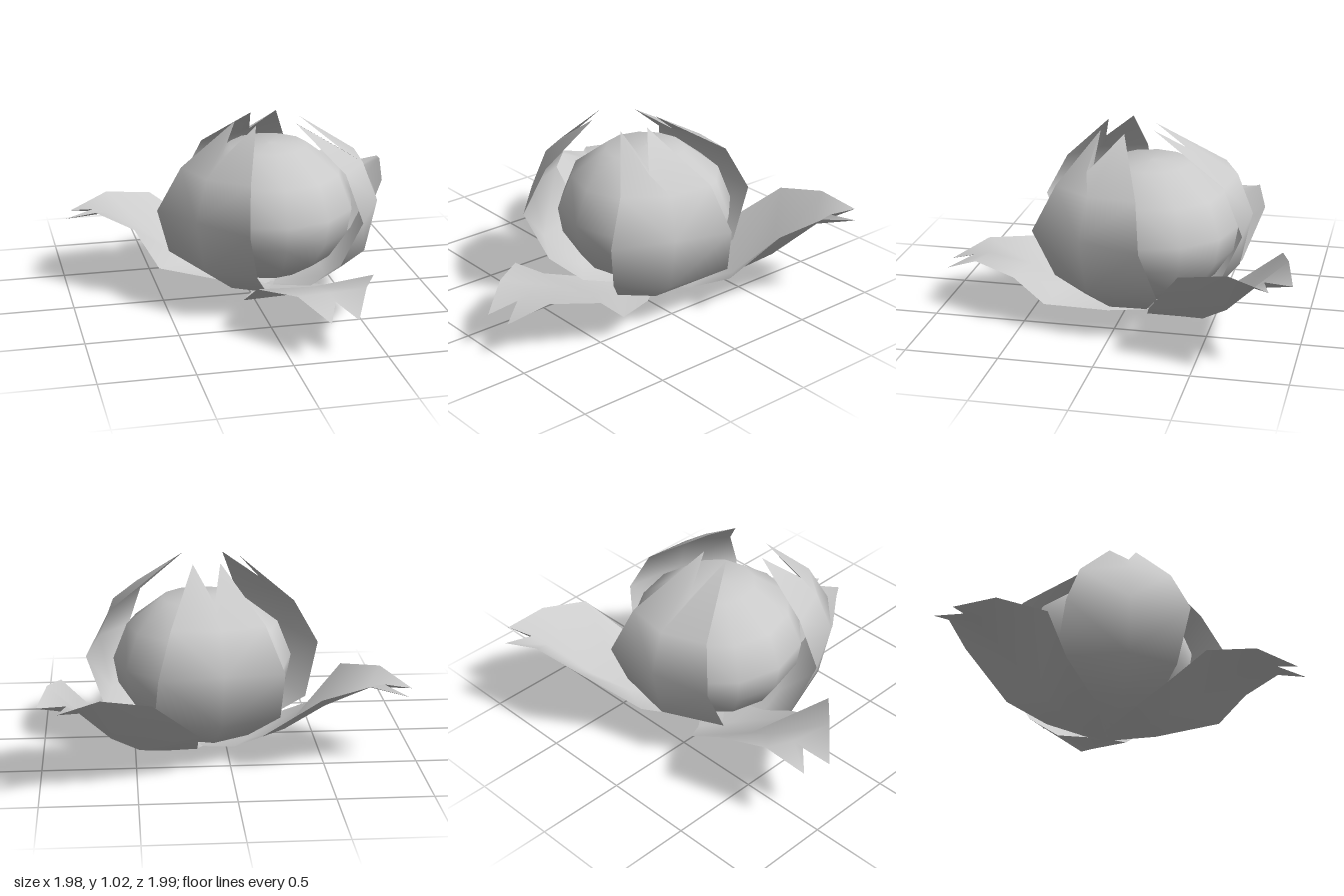
import * as THREE from 'three';

const material = new THREE.MeshStandardMaterial({ color: 0xcccccc, side: THREE.DoubleSide });

// Skin rows of three points (edge, fold, edge); each point is [lateral, height, outward]
function skin(rows) {
  const index = [];
  for (let a = 0; a < (rows.length - 1) * 3; a += 3) {
    // diagonals mirror about the fold
    index.push(a, a + 1, a + 3, a + 1, a + 4, a + 3);
    index.push(a + 1, a + 2, a + 5, a + 1, a + 5, a + 4);
  }
  const geometry = new THREE.BufferGeometry();
  geometry.setAttribute('position', new THREE.Float32BufferAttribute(rows.flat(2), 3));
  geometry.setIndex(index);
  geometry.computeVertexNormals();
  return geometry;
}

// One mirrored cross-section
const section = (half, edgeY, edgeR, midY, midR) =>
  [[-half, edgeY, edgeR], [0, midY, midR], [half, edgeY, edgeR]];

// Cupped petal that closes over the core and ends in two tips with a notch;
// the two low half widths differ from side to side
function cuppedPetal([lowA, lowB], tipR, tipShift, notchR) {
  const rows = [
    section(0.04, 0.03, 0.03, 0.03, 0.03),
    section(0.2, 0.1, 0.26, 0.09, 0.32),
    [[-lowA, 0.25, 0.43], [0, 0.25, 0.54], [lowB, 0.25, 0.43]],
    section(0.335, 0.53, 0.555, 0.55, 0.605),
    section(0.25, 0.77, 0.45, 0.77, 0.52),
    section(0.075, 1.02, tipR, 0.86, notchR),
  ];
  rows.at(-1).forEach((p) => { p[0] += tipShift; });
  return skin(rows);
}

// Spreading petal: edges rise to a height, the middle sinks as a trough;
// the two shoulders sit at different distances from the base
function spreadPetal([shoulderA, shoulderB], length, height, trough, drop) {
  const low = 0.42 * height;
  const rows = [
    section(0.04, 0, 0, 0, 0),
    section(0.2, 0.16 * height, 0.24, 0.16 * height - 0.2 * trough, 0.27),
    [[-0.335, low, shoulderA], [0, low - 0.5 * trough, 0.48], [0.335, low, shoulderB]],
    section(0.33, 0.9 * height, 0.735, 0.9 * height - trough, 0.7),
    section(0.19, height, 0.97, height - 0.45 * trough, 0.93),
    section(0.075, height - drop, 1.16, height - 0.03 - 0.1 * trough, 1.02),
  ];
  rows.flat().forEach((p) => { p[2] *= length; });
  return skin(rows);
}

// Place a petal so that it points along an angle measured from +x toward +z
function place(geometry, name, degrees, x, z) {
  const mesh = new THREE.Mesh(geometry, material);
  mesh.name = name;
  mesh.position.set(x, 0, z);
  mesh.rotation.y = Math.PI / 2 - THREE.MathUtils.degToRad(degrees);
  return mesh;
}

export function createModel() {
  const model = new THREE.Group();
  model.name = 'flower';

  // Squat round core with a flattened top
  const profile = [
    [0, 0.085], [0.2, 0.11], [0.36, 0.21], [0.46, 0.36],
    [0.485, 0.5], [0.41, 0.69], [0.22, 0.835], [0, 0.845],
  ].map(([r, y]) => new THREE.Vector2(r, y));
  const core = new THREE.Mesh(new THREE.LatheGeometry(profile, 12), material);
  core.name = 'core';
  core.position.set(0.125, 0, -0.12);
  model.add(core);

  // Inner ring of cupped petals, each leaning in a little differently
  const inner = new THREE.Group();
  inner.name = 'innerPetals';
  [
    ['innerPetalLeft', 21, [0.28, 0.37], 0.165, -0.08, 0.41],
    ['innerPetalRight', 143, [0.37, 0.28], 0.225, 0.02, 0.43],
    ['innerPetalBack', 263, [0.34, 0.34], 0.07, 0.01, 0.3],
  ].forEach(([name, angle, ...shape]) =>
    inner.add(place(cuppedPetal(...shape), name, angle, 0.12, -0.07)));
  model.add(inner);

  // Outer ring of spreading petals, each opened by a different amount
  const outer = new THREE.Group();
  outer.name = 'outerPetals';
  [
    ['outerPetalFront', 84, [0.52, 0.57], 0.99, 0.3, 0.04, 0.09],
    ['outerPetalRight', 196.4, [0.42, 0.6], 1, 0.46, 0.14, 0.08],
    ['outerPetalLeft', 315.4, [0.47, 0.38], 0.965, 0.53, 0.26, 0.05],
  ].forEach(([name, angle, ...shape]) =>
    outer.add(place(spreadPetal(...shape), name, angle, 0.15, -0.15)));
  model.add(outer);

  return model;
}
